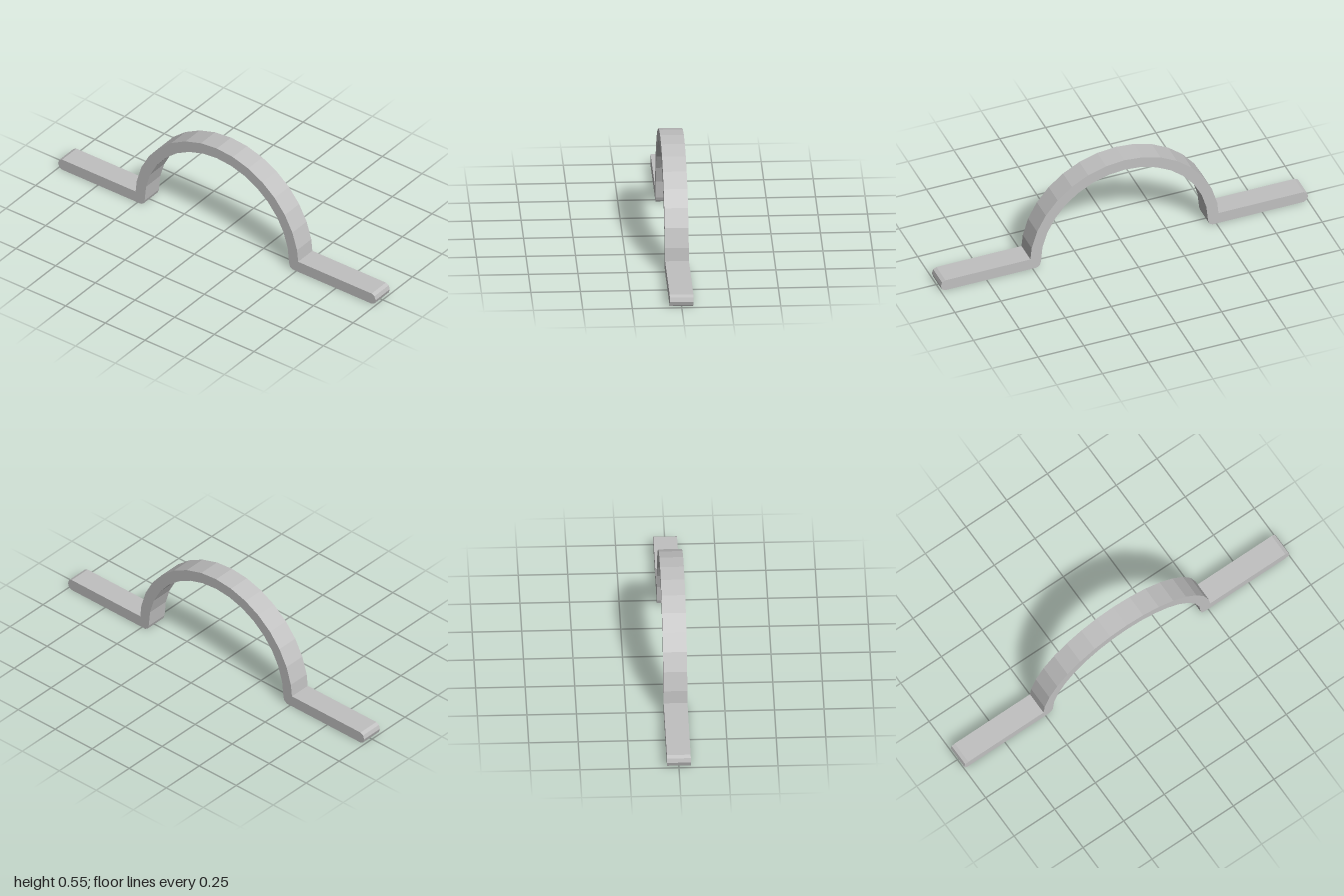
import * as THREE from 'three';

const WIDTH = 0.12;     // strap width along z
const CENTRE_Y = 0.03;  // centre height of the arch
const OUTER = 0.515, INNER = 0.455;
const SEGMENTS = 16;

export function createModel() {
  const group = new THREE.Group();
  group.name = 'pipeClamp';
  const metal = new THREE.MeshStandardMaterial({ color: 0xc0c0c0 });
  metal.name = 'grey metal';

  // Points of an arch facet line, from the right end (+x) to the left
  const arc = (radius, from, to) => {
    const pts = [];
    for (let i = from; i <= to; i++) {
      const a = (i / SEGMENTS) * Math.PI;
      pts.push([radius * Math.cos(a), CENTRE_Y + radius * Math.sin(a)]);
    }
    return pts;
  };

  // Underside of one foot, from the inner bend out to the rounded tip and back along the top
  const foot = [
    [0.462, 0.01], [0.478, 0], [0.975, 0], [0.993, 0.009], [1, 0.031],
    [0.993, 0.053], [0.975, 0.062], [0.512, 0.062],
  ];
  const mirroredFoot = foot.map(([x, y]) => [-x, y]).reverse();

  // Closed side profile: foot, outer arch, mirrored foot, inner arch
  const profile = [
    ...foot,
    ...arc(OUTER, 1, SEGMENTS - 1),
    ...mirroredFoot,
    ...arc(INNER, 0, SEGMENTS).reverse(),
  ];
  const shape = new THREE.Shape(profile.map(([x, y]) => new THREE.Vector2(x, y)));

  // Strap, swept straight through its width
  const geometry = new THREE.ExtrudeGeometry(shape, { depth: WIDTH, bevelEnabled: false });
  geometry.translate(0, 0, -WIDTH / 2);
  const strap = new THREE.Mesh(geometry, metal);
  strap.name = 'strap';
  group.add(strap);
  return group;
}
